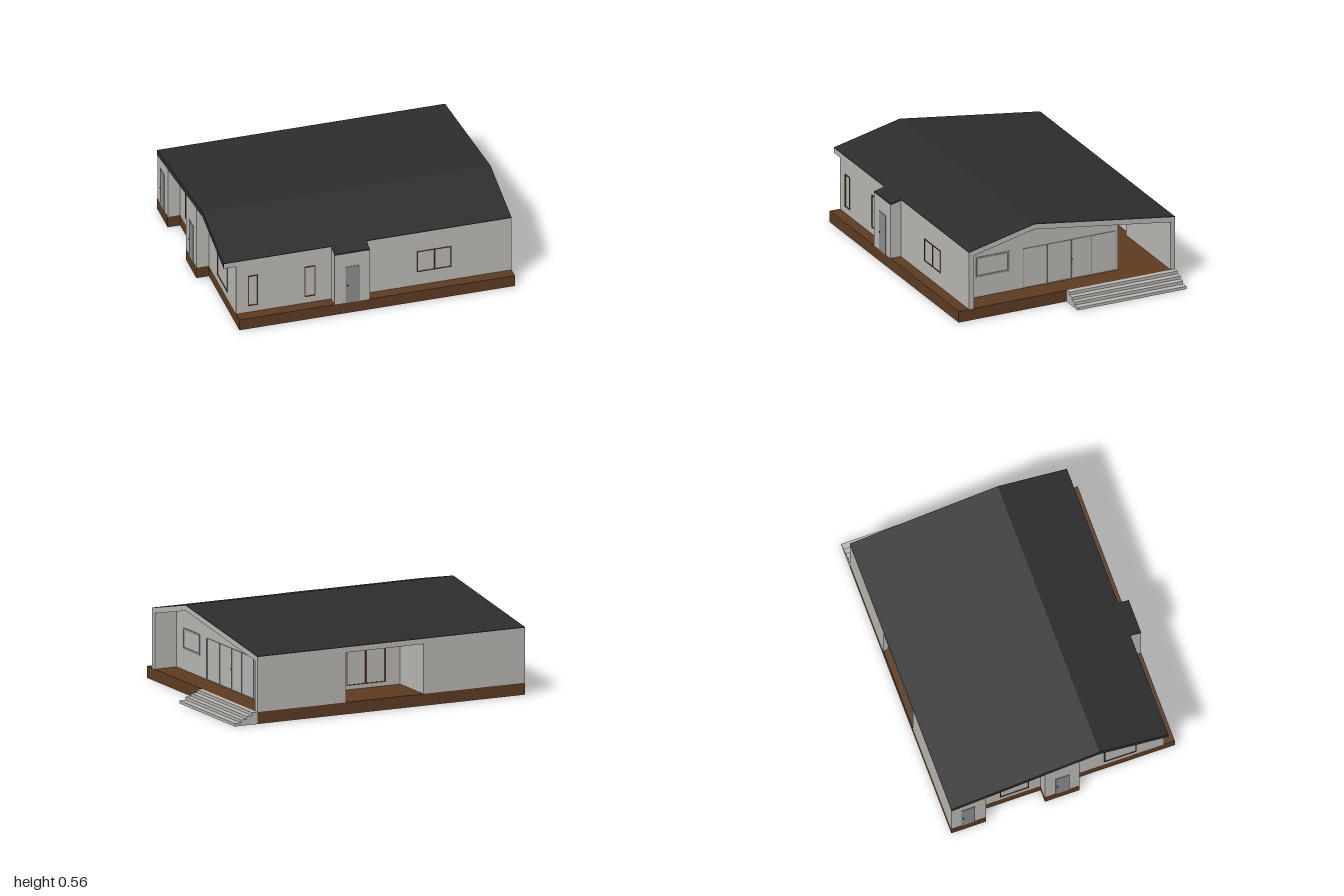
import * as THREE from 'three';

const mat = (name, color) => {
  const m = new THREE.MeshStandardMaterial({ color });
  m.name = name;
  return m;
};

export function createModel() {
  const house = new THREE.Group();
  house.name = 'house';
  const wall = mat('wall grey', 0xb8b6b2);
  const wood = mat('wood brown', 0x5c3b21);
  const slate = mat('roof charcoal', 0x2d2d2d);
  const door = mat('door grey', 0x8a8a8c);

  const add = (name, geo, material, parent = house) => {
    const m = new THREE.Mesh(geo, material);
    m.name = name;
    parent.add(m);
    return m;
  };
  const box = (name, material, x0, x1, y0, y1, z0, z1, parent = house) => {
    const m = add(name, new THREE.BoxGeometry(x1 - x0, y1 - y0, z1 - z0), material, parent);
    m.position.set((x0 + x1) / 2, (y0 + y1) / 2, (z0 + z1) / 2);
    return m;
  };
  // Extrude a [z, y] profile along x
  const alongX = (name, material, pts, x0, x1) => {
    const s = new THREE.Shape(pts.map(([z, y]) => new THREE.Vector2(-z, y)));
    const g = new THREE.ExtrudeGeometry(s, { depth: x1 - x0, bevelEnabled: false });
    g.rotateY(Math.PI / 2).translate(x0, 0, 0);
    return add(name, g, material);
  };

  const FLOOR = 0.075, BACK = -0.745, FRONT = 0.67, RIDGE = 0.22;
  const L = -1, WALL_L = -0.92, R = 0.845, GABLE = 0.695, ROOM = -0.43;
  const topY = z => z > RIDGE ? 0.56 - (z - RIDGE) * 0.233 : 0.56 - (RIDGE - z) * 0.14;
  // Profile between two z values, bounded above and below by offsets from the roof
  const slab = (z0, z1, hi, lo) => {
    const zs = z0 < RIDGE && z1 > RIDGE ? [z0, RIDGE, z1] : [z0, z1];
    return [...zs.map(z => [z, topY(z) - hi]), ...zs.reverse().map(z => [z, topY(z) - lo])];
  };
  const block = (z0, z1) => {
    const zs = z0 < RIDGE && z1 > RIDGE ? [z1, RIDGE, z0] : [z1, z0];
    return [[z0, FLOOR], [z1, FLOOR], ...zs.map(z => [z, topY(z) - 0.01])];
  };

  // Plinth with bumps under the side entrances, and its plain underside
  const foot = [[WALL_L, 0.74], [R, 0.74], [R, BACK], [L, BACK], [L, -0.52], [WALL_L, -0.52],
    [WALL_L, -0.135], [L, -0.135], [L, 0.09], [WALL_L, 0.09]];
  const plan = new THREE.Shape(foot.map(([x, z]) => new THREE.Vector2(x, -z)));
  const layer = (name, material, y0, y1) => {
    const g = new THREE.ExtrudeGeometry(plan, { depth: y1 - y0, bevelEnabled: false });
    add(name, g.rotateX(-Math.PI / 2).translate(0, y0, 0), material);
  };
  layer('plinth', wood, 0.002, FLOOR);
  layer('plinthUnderside', wall, 0, 0.002);

  // Terrace steps
  [0.88, 0.92, 0.957, 1].forEach((x, i) => {
    const x0 = i ? [0.88, 0.92, 0.957][i - 1] : R;
    box('step', wall, x0, x, 0, FLOOR - i * 0.019, BACK, 0);
  });

  // Rooms and outer walls
  alongX('mainRooms', wall, block(ROOM, FRONT), WALL_L, GABLE);
  alongX('backRoom', wall, block(BACK + 0.03, ROOM), WALL_L, -0.3);
  alongX('frontWallEnd', wall, block(0.635, FRONT), GABLE, R);
  alongX('frontPorch', wall, block(FRONT, 0.74), -0.31, -0.085);
  alongX('sidePorch', wall, block(-0.135, 0.09), L + 0.001, WALL_L);
  alongX('rearSidePorch', wall, block(BACK + 0.03, -0.52), L + 0.001, WALL_L);

  // Back wall with terrace opening
  alongX('backWallLeft', wall, block(BACK, BACK + 0.03), 0.235, R);
  alongX('backWallRight', wall, block(BACK, BACK + 0.03), L + 0.001, -0.3);

  // Roof: grey soffit body, dark covering and dark verge
  alongX('roofBody', wall, slab(BACK, FRONT, 0.004, 0.037), L + 0.003, R);
  alongX('roofCovering', slate, slab(BACK, FRONT, 0, 0.004), L, R);
  alongX('porchCovering', slate, slab(FRONT, 0.74, 0, 0.01), -0.31, -0.085);
  alongX('verge', slate, slab(BACK, FRONT, 0, 0.037), L, L + 0.003);

  // Openings are drawn in a local plane: x to the viewer's right, y up, z outwards
  const side = (name, x, z, angle) => {
    const g = new THREE.Group();
    g.name = name;
    g.position.set(x, 0, z);
    g.rotation.y = angle;
    house.add(g);
    return g;
  };
  const frame = (parent, material, x0, x1, y0, y1, t, name = 'windowFrame') => {
    const s = new THREE.Shape();
    s.moveTo(x0, y0).lineTo(x1, y0).lineTo(x1, y1).lineTo(x0, y1).closePath();
    const h = new THREE.Path();
    h.moveTo(x0 + t, y0 + t).lineTo(x0 + t, y1 - t).lineTo(x1 - t, y1 - t).lineTo(x1 - t, y0 + t).closePath();
    s.holes.push(h);
    add(name, new THREE.ExtrudeGeometry(s, { depth: 0.004, bevelEnabled: false }), material, parent);
  };
  const knob = (parent, x, y) => {
    add('knob', new THREE.SphereGeometry(0.005, 10, 8), slate, parent).position.set(x, y, 0.004);
  };
  const entrance = (parent, x) => {
    box('door', door, x, x + 0.09, FLOOR, 0.335, 0, 0.003, parent);
    knob(parent, x + 0.012, 0.2);
  };

  // Front
  const front = side('frontWindows', 0, FRONT, 0);
  frame(front, wood, -0.845, -0.78, 0.12, 0.337, 0.006);
  frame(front, wood, -0.482, -0.412, 0.12, 0.337, 0.006);
  frame(front, wood, 0.24, 0.354, 0.17, 0.318, 0.005);
  frame(front, wood, 0.35, 0.46, 0.17, 0.318, 0.005);
  entrance(side('frontEntrance', 0, 0.74, 0), -0.24);

  // Left-hand end wall
  const end = side('endWindows', WALL_L, 0, -Math.PI / 2);
  [[-0.4, -0.21], [0.28, 0.49]].forEach(([a, b]) => {
    frame(end, wood, a, b, 0.125, 0.337, 0.006);
  });
  const endDoors = side('endEntrances', L + 0.001, 0, -Math.PI / 2);
  entrance(endDoors, -0.68);
  entrance(endDoors, -0.065);

  // Terrace gable: window and sliding doors
  const gable = side('terraceGable', GABLE, 0, Math.PI / 2);
  frame(gable, door, -0.545, -0.317, 0.207, 0.34, 0.012);
  const edges = [-0.225, -0.055, 0.11, 0.245, 0.41];
  for (let i = 0; i < 4; i++) {
    frame(gable, door, edges[i], edges[i + 1], FLOOR, 0.337, 0.003, 'slidingDoor');
  }
  knob(gable, 0.11, 0.205);

  // Window facing the rear terrace
  const rear = side('rearWindow', 0, ROOM, Math.PI);
  frame(rear, wood, -0.07, 0.065, 0.1, 0.325, 0.006);
  frame(rear, wood, 0.065, 0.2, 0.1, 0.325, 0.006);

  return house;
}
